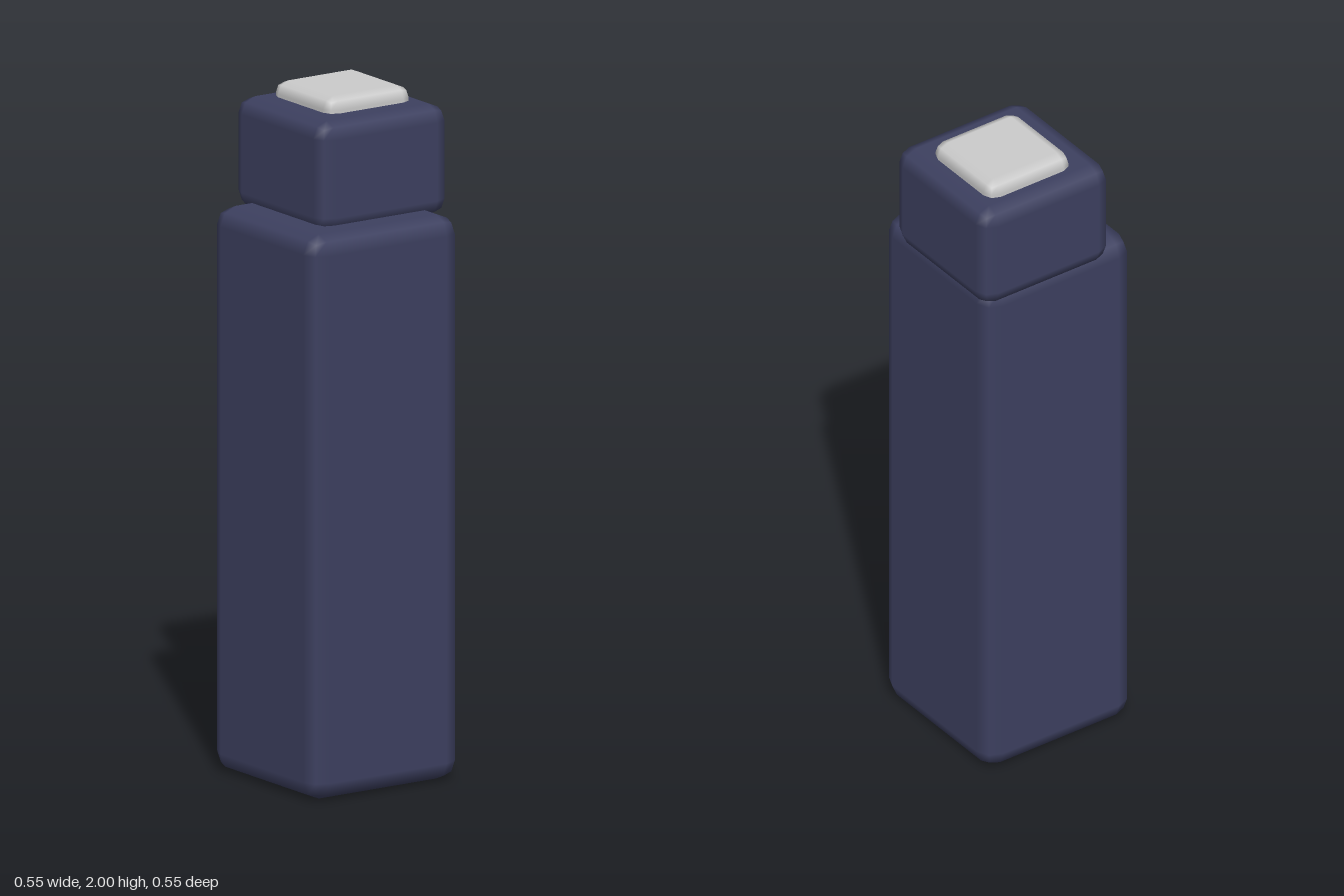
import * as THREE from 'three';
import { RoundedBoxGeometry } from 'three/addons/geometries/RoundedBoxGeometry.js';

export function createModel() {
  const model = new THREE.Group();
  const blue = new THREE.MeshStandardMaterial({ color: 0x3d4060 });
  const grey = new THREE.MeshStandardMaterial({ color: 0xcccccc });

  // Square block with bevelled edges, placed by its centre and its bottom and top
  function block(name, width, bottom, top, x, z, radius, material) {
    const height = top - bottom;
    const mesh = new THREE.Mesh(new RoundedBoxGeometry(width, height, width, 1, radius), material);
    mesh.name = name;
    mesh.position.set(x, bottom + height / 2, z);
    model.add(mesh);
  }

  // Tall base column
  block('column', 0.517, 0, 1.655, -0.016, 0.015, 0.055, blue);
  // Offset block on top of the column
  block('upperBlock', 0.448, 1.63, 1.955, 0.05, -0.051, 0.048, blue);
  // Thin pad sunk into the upper block
  block('topPad', 0.292, 1.92, 2, 0.064, -0.067, 0.036, grey);

  return model;
}
